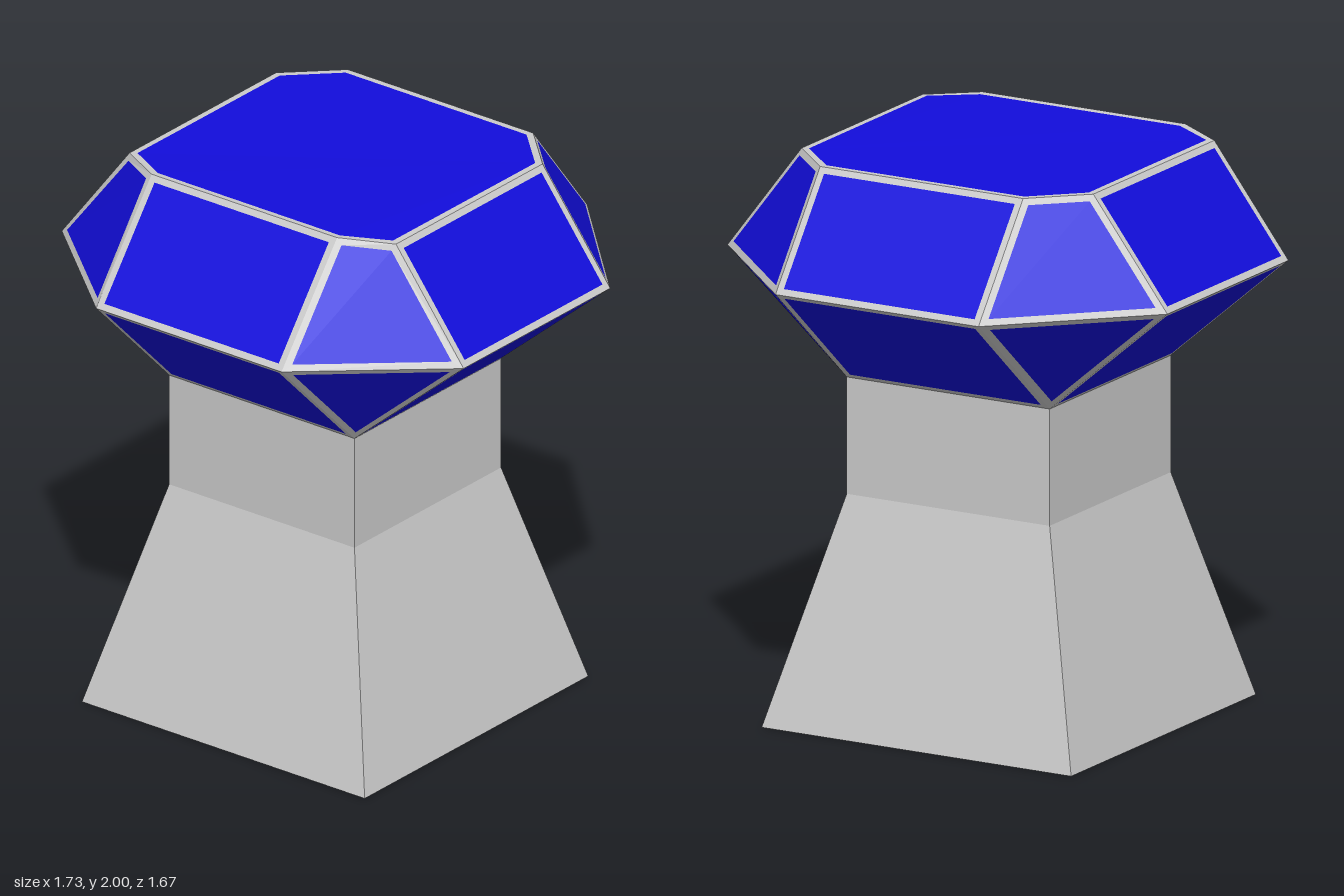
import * as THREE from 'three';

const FRAME = 0.024; // width of the grey border around each facet
const Z = 0.035; // the stem sits slightly forward of centre

const V = (x, y, z) => new THREE.Vector3(x, y, z);

// Moves every edge of a flat polygon inwards by w.
function inset(points, w) {
  const n = points.length;
  return points.map((p, i) => {
    const a = points[(i + 1) % n].clone().sub(p).normalize();
    const b = points[(i + n - 1) % n].clone().sub(p).normalize();
    const sin = a.clone().cross(b).length();
    return p.clone().addScaledVector(a.add(b), w / sin);
  });
}

// Fan of triangles over a convex polygon.
function fan(points, out) {
  for (let i = 1; i < points.length - 1; i++) out.push(points[0], points[i], points[i + 1]);
}

function mesh(name, points, material) {
  const geometry = new THREE.BufferGeometry().setFromPoints(points);
  geometry.computeVertexNormals();
  const m = new THREE.Mesh(geometry, material);
  m.name = name;
  return m;
}

export function createModel() {
  const grey = new THREE.MeshStandardMaterial({ color: 0xcccccc, flatShading: true });
  const blue = new THREE.MeshStandardMaterial({ color: 0x120ddc, flatShading: true });
  const model = new THREE.Group();
  model.name = 'gemPedestal';

  // Square stem: flared foot, straight neck, closed underneath
  const r = Math.SQRT2;
  const profile = [[0, 0], [0.61 * r, 0], [0.4 * r, 0.8], [0.4 * r, 1.21]]
    .map(([x, y]) => new THREE.Vector2(x, y));
  const stem = new THREE.Mesh(new THREE.LatheGeometry(profile, 4, Math.PI / 4), grey);
  stem.name = 'stem';
  stem.position.z = Z;
  model.add(stem);

  // Gem cross-sections, counter-clockwise from above
  const octagon = (x, back, front, yBack, yFront) => [
    V(x, yBack, -0.37), V(0.4, yBack, back), V(-0.4, yBack, back), V(-x, yBack, -0.37),
    V(-x, yBack, 0.43), V(-0.4, yFront, front), V(0.4, yFront, front), V(x, yBack, 0.43),
  ];
  const top = octagon(0.575, -0.54, 0.53, 1.99, 2);
  const girdle = octagon(0.867, -0.835, 0.833, 1.61, 1.61);
  const bottom = octagon(0.4, Z - 0.4, Z + 0.4, 1.21, 1.21);
  // The lower section is a square, so its corners coincide in pairs
  bottom.forEach((p) => { p.z = p.z < 0 ? Z - 0.4 : Z + 0.4; });

  // Facets: table, crown, and underside with triangular corners
  const facets = [top];
  for (let i = 0; i < 8; i++) {
    const j = (i + 1) % 8;
    facets.push([girdle[i], girdle[j], top[j], top[i]]);
    facets.push(i % 2 === 0
      ? [bottom[i], girdle[j], girdle[i]]
      : [bottom[i], bottom[j], girdle[j], girdle[i]]);
  }

  // Each facet is a blue pane inside a grey border
  const panes = [], borders = [];
  for (const outer of facets) {
    const inner = inset(outer, FRAME);
    fan(inner, panes);
    outer.forEach((p, i) => {
      const j = (i + 1) % outer.length;
      fan([p, outer[j], inner[j], inner[i]], borders);
    });
  }
  const gem = new THREE.Group();
  gem.name = 'gem';
  gem.add(mesh('gemPanes', panes, blue), mesh('gemBorders', borders, grey));
  model.add(gem);

  return model;
}
